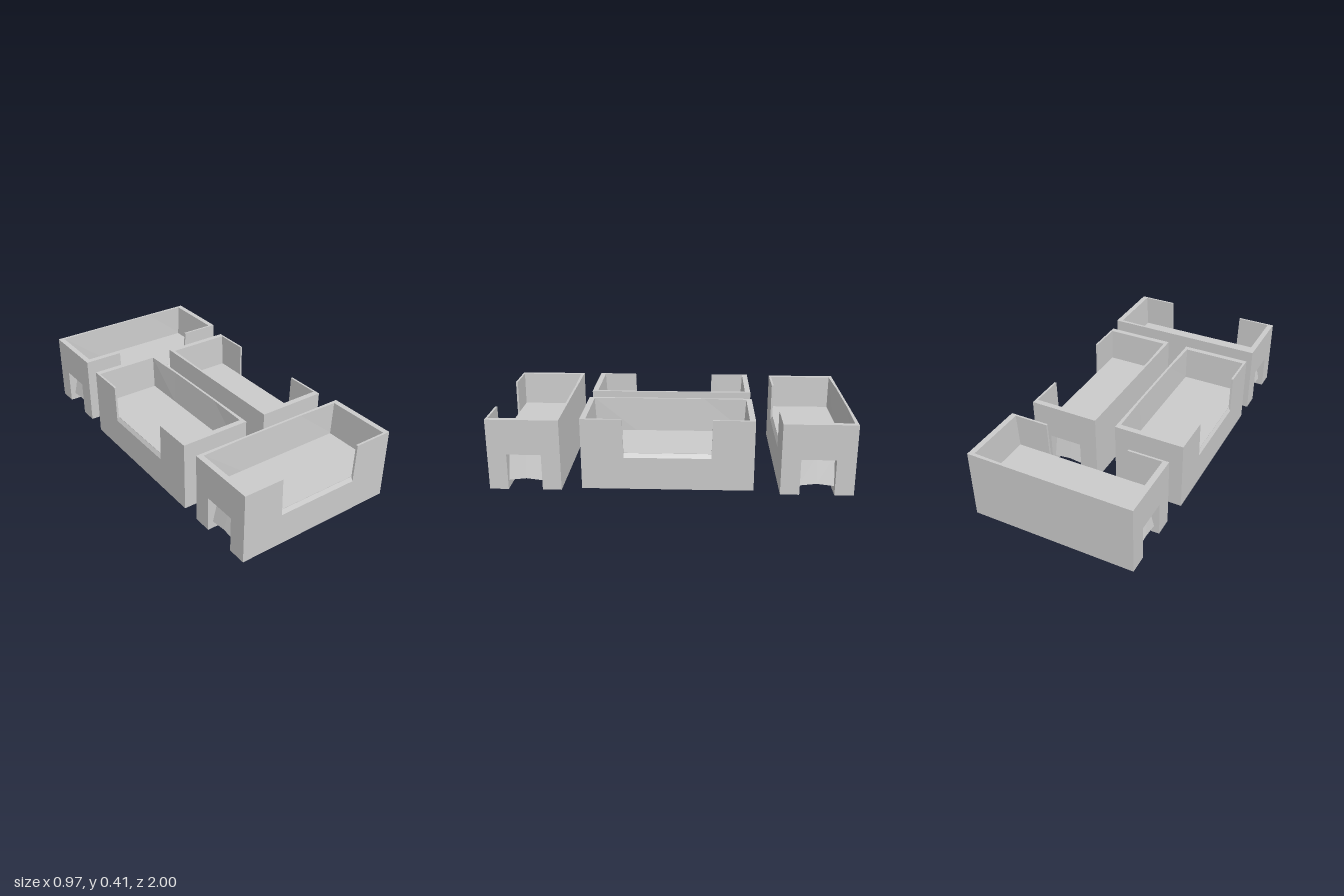
import * as THREE from 'three';

const L = 0.95, W = 0.4, H = 0.405;      // tray length, width, height
const FLOOR = 0.21, LIP = 0.012;         // floor level, front wall thickness
const DOOR = 0.095, CEIL = 0.205;        // half width and height of the end recess
const material = new THREE.MeshStandardMaterial({ color: 0xcccccc, flatShading: true });

function extrude(points, depth, steps = 1) {
  const shape = new THREE.Shape(points.map(p => new THREE.Vector2(p[0], p[1])));
  return new THREE.ExtrudeGeometry(shape, { depth, steps, bevelEnabled: false });
}

function moveVertices(geometry, rule) {
  const pos = geometry.attributes.position;
  const v = new THREE.Vector3();
  for (let i = 0; i < pos.count; i++) {
    rule(v.fromBufferAttribute(pos, i));
    pos.setXYZ(i, v.x, v.y, v.z);
  }
  geometry.computeVertexNormals();
  return geometry;
}

function add(group, name, geometry) {
  const mesh = new THREE.Mesh(geometry, material);
  mesh.name = name;
  group.add(mesh);
  return mesh;
}

// One tray, long in x, with its low access notch on +z
function createTray(name) {
  const tray = new THREE.Group();
  tray.name = name;
  const e = L / 2, f = W / 2 - LIP;

  // Middle of the base: end recess with leaning back face, shallow pocket open below
  const half = [[e - 0.2, 0], [e - 0.2, 0.042], [e - 0.03, 0.042],
    [e - 0.07, CEIL], [e, CEIL], [e, FLOOR]];
  const profile = [...half, ...half.map(([x, y]) => [-x, y]).reverse()];
  const core = extrude(profile, 2 * DOOR, 2).translate(0, 0, -DOOR);
  add(tray, 'baseCore', moveVertices(core, v => {
    // Pocket ceiling rises to a shallow ridge
    if (Math.abs(v.z) < 0.01 && Math.abs(v.y - 0.042) < 0.001) v.y = 0.053;
  }));

  // Solid base on both sides of the recesses
  for (const [z0, z1] of [[-W / 2, -DOOR], [DOOR, f]]) {
    add(tray, 'baseSide', new THREE.BoxGeometry(L, FLOOR, z1 - z0)
      .translate(0, FLOOR / 2, (z0 + z1) / 2));
  }

  // Back wall, straight at the floor and bowed thinner at the rim
  const wall = extrude([[-e, 0.2], [-e, 0.18], [-0.44, 0.18], [-0.2, 0.187],
    [0.2, 0.187], [0.44, 0.18], [e, 0.18], [e, 0.2]], H - FLOOR);
  wall.rotateX(-Math.PI / 2).translate(0, FLOOR, 0);
  add(tray, 'backWall', moveVertices(wall, v => {
    if (v.y < FLOOR + 0.01 && v.z > -0.195) v.z = -0.178;
  }));

  // Drafted end walls
  for (const s of [1, -1]) {
    const end = extrude([[e, FLOOR], [e, H], [e - 0.032, H], [e - 0.042, FLOOR]], f + 0.19);
    end.translate(0, 0, -0.19);
    if (s < 0) end.rotateY(Math.PI).translate(0, 0, f - 0.19);
    add(tray, 'endWall', end);
  }

  // Thin front wall with notch
  add(tray, 'frontWall', extrude([[-e, 0], [e, 0], [e, H], [0.246, H], [0.24, 0.185],
    [-0.24, 0.185], [-0.246, H], [-e, H]], LIP).translate(0, 0, f));

  // Bevelled sill along the bottom of the notch
  add(tray, 'sill', extrude([[0, 0.185], [0, FLOOR - 0.002], [-LIP, 0.185]], 0.48)
    .rotateY(-Math.PI / 2).rotateY(Math.PI).translate(-0.24, 0, f));
  return tray;
}

export function createModel() {
  const model = new THREE.Group();
  model.name = 'trays';
  const layout = [
    ['frontTray', -0.01, 0.8, 0],
    ['backTray', 0.005, -0.8, 0],
    ['leftTray', 0.237, 0.016, Math.PI / 2],
    ['rightTray', -0.285, 0.016, -Math.PI / 2],
  ];
  for (const [name, x, z, turn] of layout) {
    const tray = createTray(name);
    tray.position.set(x, 0, z);
    tray.rotation.y = turn;
    model.add(tray);
  }
  return model;
}
